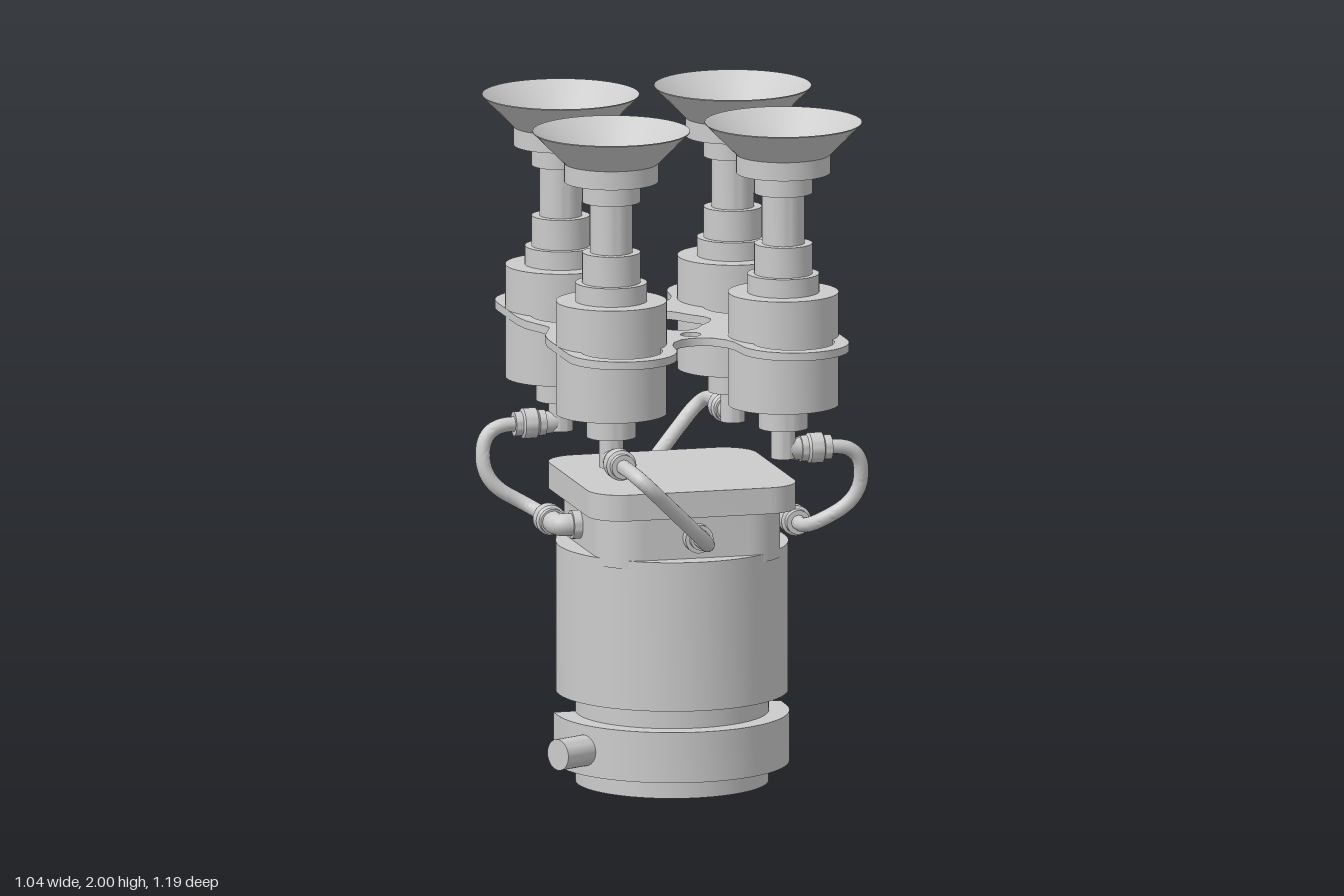
import * as THREE from 'three';
import { toCreasedNormals } from 'three/addons/utils/BufferGeometryUtils.js';

const V = (x, y, z) => new THREE.Vector3(x, y, z);
const material = new THREE.MeshStandardMaterial({ color: 0xcccccc, side: THREE.DoubleSide });

function part(name, geometry, parent) {
  const mesh = new THREE.Mesh(toCreasedNormals(geometry, 0.5), material);
  mesh.name = name;
  parent.add(mesh);
  return mesh;
}

// Turned part from [radius, height] pairs
const turned = (pts, sides = 48) =>
  new THREE.LatheGeometry(pts.map(([r, y]) => new THREE.Vector2(r, y)), sides);

// Horizontal slab between two heights; the shape's y axis becomes -z
function slab(shape, y0, y1) {
  const g = new THREE.ExtrudeGeometry(shape, { depth: y1 - y0, bevelEnabled: false, curveSegments: 20 });
  return g.rotateX(-Math.PI / 2).translate(0, y0, 0);
}

function roundedSquare(h, r) {
  const s = new THREE.Shape();
  const k = h - r;
  s.absarc(k, k, r, 0, Math.PI / 2);
  s.absarc(-k, k, r, Math.PI / 2, Math.PI);
  s.absarc(-k, -k, r, Math.PI, Math.PI * 1.5);
  s.absarc(k, -k, r, Math.PI * 1.5, Math.PI * 2);
  return s.closePath();
}

// Turned part standing on a point and aimed along a direction
function aimed(name, pts, pos, dir, parent) {
  const m = part(name, turned(pts, 28), parent);
  m.position.copy(pos);
  m.quaternion.setFromUnitVectors(V(0, 1, 0), dir.clone().normalize());
  return m;
}

// Tube along a polyline with rounded corners
function hose(name, pts, radius, bend, parent) {
  const path = new THREE.CurvePath();
  let last = pts[0];
  for (let i = 1; i < pts.length - 1; i++) {
    const p = pts[i];
    const toward = (q) => p.clone().add(q.clone().sub(p).setLength(Math.min(bend, q.distanceTo(p) * 0.48)));
    const a = toward(pts[i - 1]), b = toward(pts[i + 1]);
    path.add(new THREE.LineCurve3(last, a));
    path.add(new THREE.QuadraticBezierCurve3(a, p, b));
    last = b;
  }
  path.add(new THREE.LineCurve3(last, pts[pts.length - 1]));
  return part(name, new THREE.TubeGeometry(path, 70, radius, 14), parent);
}

// Quarter outline mirrored into a closed loop
function mirrorLoop(quarter) {
  const back = quarter.slice(0, -1).reverse().map(([x, y]) => [-x, y]);
  const half = [...quarter, ...back];
  return [...half, ...half.slice(1, -1).reverse().map(([x, y]) => [x, -y])]
    .map(([x, y]) => new THREE.Vector2(x, y));
}

const CUP_X = 0.26, CUP_Z = 0.285;

function addBase(root) {
  part('baseCylinder', turned([[0, 0], [0.283, 0], [0.283, 0.3], [0, 0.3]], 72), root);
  part('mainCylinder', turned([[0, 0.27], [0.34, 0.27], [0.34, 0.713], [0, 0.713]], 72), root);
  part('upperBlock', slab(roundedSquare(0.28, 0.12), 0.69, 0.85), root);
  part('topCap', slab(roundedSquare(0.313, 0.1), 0.84, 0.918), root);

  // Half collar wrapping the front of the base
  const collar = new THREE.Shape();
  collar.moveTo(-0.343, 0.055);
  collar.lineTo(-0.343, 0);
  collar.absarc(0, 0, 0.343, Math.PI, Math.PI * 2);
  collar.lineTo(0.343, 0.055);
  part('halfCollar', slab(collar.closePath(), 0.058, 0.208), root);

  aimed('collarPeg', [[0, 0], [0.046, 0], [0.046, 0.15], [0, 0.15]],
    V(-0.265, 0.133, 0.134), V(-0.89, 0, 0.45), root);

  // Tapered housing at the back
  const rear = new THREE.Shape();
  rear.moveTo(0.325, 0.1);
  rear.lineTo(0.215, 0.465);
  rear.quadraticCurveTo(0.2, 0.52, 0.14, 0.535);
  rear.quadraticCurveTo(0, 0.577, -0.14, 0.535);
  rear.quadraticCurveTo(-0.2, 0.52, -0.215, 0.465);
  rear.lineTo(-0.325, 0.1);
  part('rearHousing', slab(rear.closePath(), 0.422, 0.713), root);
}

function addPlate(root) {
  // Four lobes joined by a waisted web
  const q = [[0.372, 0], [0.378, 0.022], [0.394, 0.06], [0.413, 0.11], [0.422, 0.17]];
  for (let i = 0; i <= 16; i++) {
    const a = (i / 16) * Math.PI;
    q.push([CUP_X + 0.162 * Math.cos(a), 0.403 + 0.162 * Math.sin(a)]);
  }
  q.push([0.094, 0.36], [0.078, 0.315], [0.048, 0.282], [0.022, 0.271], [0, 0.268]);
  const plate = new THREE.Shape(mirrorLoop(q));

  // Central opening
  const star = new THREE.SplineCurve(mirrorLoop(
    [[0.116, 0], [0.105, 0.035], [0.07, 0.08], [0.045, 0.12], [0.022, 0.14], [0, 0.145]]));
  star.points.push(star.points[0].clone());
  plate.holes.push(new THREE.Path(star.getPoints(80)));

  // Bolt holes and the long slots holding the cups
  for (const [x, y] of [[0.205, 0], [-0.205, 0], [0, 0.21], [0, -0.21]])
    plate.holes.push(new THREE.Path().absarc(x, y, 0.03, 0, Math.PI * 2));
  for (const x of [-CUP_X, CUP_X]) for (const s of [-1, 1]) {
    const mid = s * 0.28;
    const slot = new THREE.Path();
    slot.absarc(x, mid + 0.12, 0.12, 0, Math.PI);
    slot.absarc(x, mid - 0.12, 0.12, Math.PI, Math.PI * 2);
    plate.holes.push(slot.closePath());
  }
  part('mountingPlate', slab(plate, 1.342, 1.366), root);
}

function addCups(root) {
  const stem = [[0, 1.0], [0.036, 1.0], [0.036, 1.09], [0.072, 1.09], [0.072, 1.16], [0.162, 1.16],
    [0.162, 1.495], [0.105, 1.495], [0.105, 1.55], [0.085, 1.55], [0.085, 1.64], [0.062, 1.64],
    [0.062, 1.79], [0.085, 1.79], [0.085, 1.85], [0.138, 1.85], [0.138, 1.905]];
  const bell = [[0.138, 1.905], [0.23, 1.997], [0.23, 2], [0.125, 1.91], [0.043, 1.91], [0.043, 1.83], [0, 1.83]];
  for (const x of [-CUP_X, CUP_X]) for (const z of [-CUP_Z, CUP_Z]) {
    const cup = new THREE.Group();
    cup.name = 'suctionUnit';
    cup.position.set(x, 0, z);
    part('stem', turned(stem), cup);
    part('suctionCup', turned(bell), cup);
    root.add(cup);
  }
}

// One front hose and one side hose; turned half way round for the other pair
function hosePair() {
  const g = new THREE.Group();
  g.name = 'hosePair';
  const coupling = [[0, 0], [0.038, 0], [0.038, 0.02], [0.045, 0.027], [0.045, 0.065],
    [0.036, 0.07], [0.036, 0.092], [0, 0.092]];
  const flange = [[0, 0], [0.042, 0], [0.042, 0.035], [0.03, 0.035], [0.03, 0.05], [0, 0.05]];
  const y0 = 0.775, y1 = 1.025;

  // Elbows under the two cups
  for (const [x, z, dx, dz] of [[-CUP_X, CUP_Z, 0, 1], [CUP_X, CUP_Z, 1, 0]]) {
    const dir = V(dx, 0, dz);
    const at = V(x, y1, z);
    hose('cupElbow', [V(x, 1.09, z), at, at.clone().addScaledVector(dir, 0.09)], 0.033, 0.04, g);
    aimed('cupCoupling', coupling, at.clone().addScaledVector(dir, 0.05), dir, g);
  }

  // Front hose
  aimed('blockFlange', flange, V(0, y0, 0.275), V(0, 0, 1), g);
  hose('frontHose', [V(-CUP_X, y1, 0.34), V(-CUP_X, y1, 0.6), V(0, y0, 0.46), V(0, y0, 0.28)], 0.022, 0.1, g);

  // Side hose with an elbow on the block
  aimed('blockFlange', flange, V(0.27, y0, 0), V(1, 0, 0), g);
  hose('blockElbow', [V(0.28, y0, 0), V(0.345, y0, 0), V(0.345, y0, 0.08)], 0.033, 0.04, g);
  aimed('blockCoupling', coupling, V(0.345, y0, 0.05), V(0, 0, 1), g);
  hose('sideHose', [V(0.345, y0, 0.08), V(0.345, y0, 0.235), V(0.505, 0.865, 0.255),
    V(0.495, y1, 0.28), V(0.32, y1, CUP_Z)], 0.022, 0.1, g);
  return g;
}

export function createModel() {
  const root = new THREE.Group();
  root.name = 'vacuumGripper';
  addBase(root);
  addPlate(root);
  addCups(root);
  const hoses = hosePair();
  const opposite = hosePair();
  opposite.rotation.y = Math.PI;
  root.add(hoses, opposite);
  return root;
}
